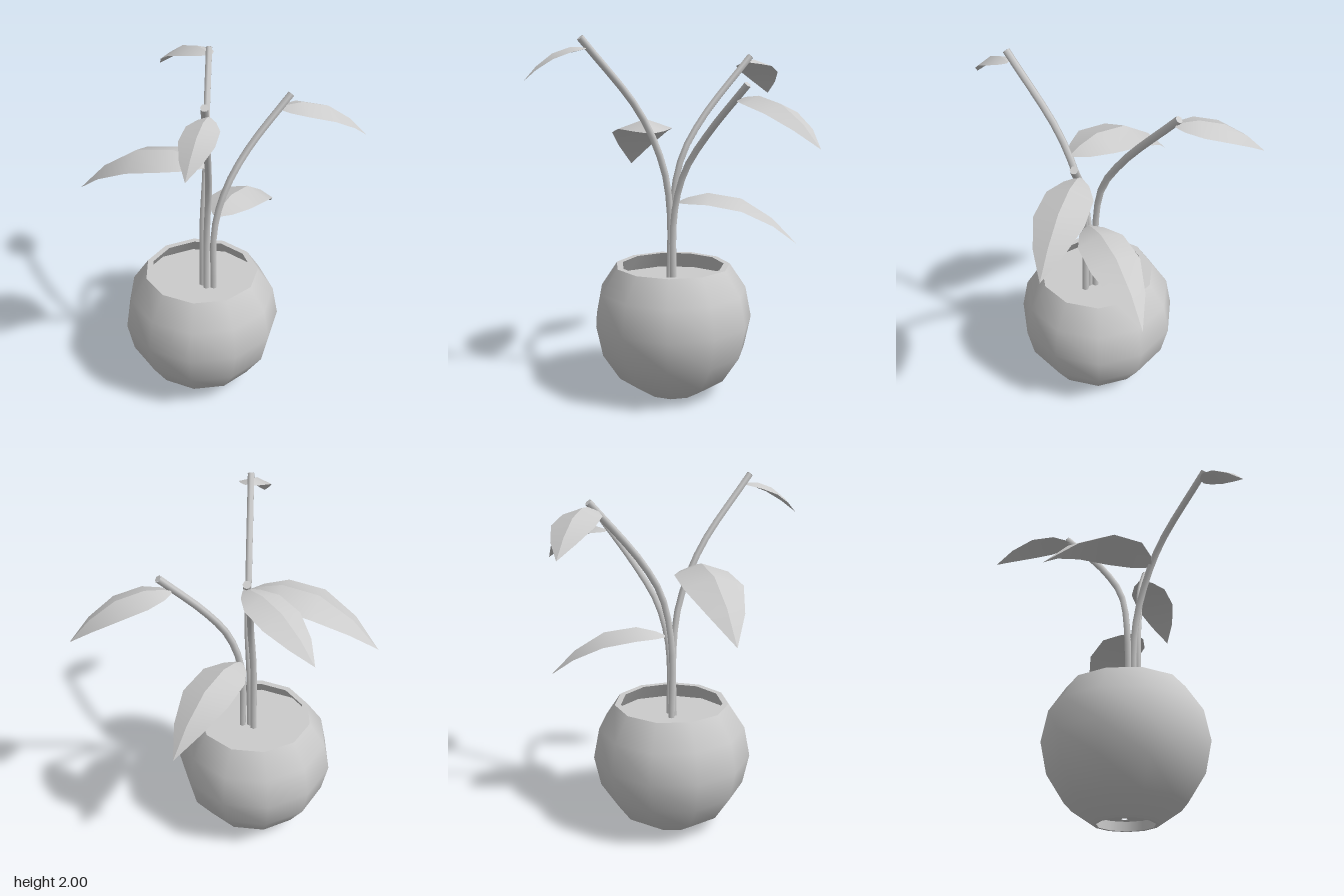
import * as THREE from 'three';

const SIDES = 11;
const material = new THREE.MeshStandardMaterial({ color: 0xcccccc });
const thin = new THREE.MeshStandardMaterial({ color: 0xcccccc, side: THREE.DoubleSide });

function add(parent, name, geometry, mat = material) {
  const mesh = new THREE.Mesh(geometry, mat);
  mesh.name = name;
  parent.add(mesh);
  return mesh;
}

// Eleven-sided surface of revolution with a corner towards +x
function turned(profile) {
  const points = profile.map(([r, y]) => new THREE.Vector2(r, y));
  return new THREE.LatheGeometry(points, SIDES, Math.PI / 2);
}

function createPot() {
  const pot = new THREE.Group();
  pot.name = 'pot';
  pot.position.x = 0.006;
  add(pot, 'potBody', turned([[0.172, 0], [0.32, 0.1], [0.417, 0.25], [0.454, 0.425], [0.42, 0.6], [0.327, 0.74]]));
  add(pot, 'potRim', turned([[0.327, 0.74], [0.292, 0.74]]));
  add(pot, 'potInnerWall', turned([[0.292, 0.74], [0.36, 0.64]]), thin);
  add(pot, 'soil', turned([[0.36, 0.64], [0, 0.64]]), thin);
  add(pot, 'footRing', turned([[0.155, 0], [0.172, 0]]));
  add(pot, 'footRecess', turned([[0.155, 0.05], [0.155, 0]]));

  // Recessed floor with five drainage holes
  const corner = (i) => {
    const a = (i / SIDES) * Math.PI * 2;
    return new THREE.Vector2(0.155 * Math.cos(a), 0.155 * Math.sin(a));
  };
  const floor = new THREE.Shape(Array.from({ length: SIDES }, (_, i) => corner(i)));
  for (let i = 0; i < 5; i++) {
    const a = (i / 5) * Math.PI * 2;
    const hole = new THREE.Path();
    hole.absarc(0.09 * Math.cos(a), 0.09 * Math.sin(a), 0.018, 0, Math.PI * 2, true);
    floor.holes.push(hole);
  }
  add(pot, 'drainageFloor', new THREE.ShapeGeometry(floor, 4).rotateX(Math.PI / 2).translate(0, 0.05, 0), thin);
  return pot;
}

// Bent stalk with a flat cut end
function createStem(name, points) {
  const stem = new THREE.Group();
  stem.name = name;
  const curve = new THREE.CatmullRomCurve3(points.map((p) => new THREE.Vector3(...p)));
  add(stem, 'stalk', new THREE.TubeGeometry(curve, 14, 0.02, 6));
  const cap = add(stem, 'cutEnd', new THREE.CircleGeometry(0.02, 6), thin);
  cap.position.copy(curve.getPoint(1));
  cap.lookAt(curve.getPoint(1).add(curve.getTangent(1)));
  return stem;
}

// Arched leaf folded along its midrib: two halves that droop to the sides.
// Each station is [position along the leaf, half width as a share of the maximum].
const STATIONS = [[0, 0.14], [0.08, 0.52], [0.25, 0.94], [0.53, 1], [0.79, 0.6], [1, 0]];

function leafGeometry(base, tip, halfWidth, lift) {
  const [dx, dz] = [tip[0] - base[0], tip[2] - base[2]];
  const length = Math.hypot(dx, dz);
  const rise = lift * length;
  const drop = base[1] - tip[1];
  const position = [];
  const index = [];
  for (const side of [1, -1]) {
    const start = position.length / 3;
    STATIONS.forEach(([t, share], i) => {
      const w = share * halfWidth;
      const x = base[0] + dx * t;
      const y = base[1] + rise * t - (rise + drop) * t * t;
      const z = base[2] + dz * t;
      position.push(x, y, z);
      position.push(x + (side * w * dz) / length, y - 0.35 * w, z - (side * w * dx) / length);
      if (i === 0) return;
      const [m0, e0, m1, e1] = [-2, -1, 0, 1].map((k) => start + 2 * i + k);
      const faces = [[m0, m1, e0]];
      if (share > 0) faces.push([m1, e1, e0]);
      for (const [a, b, c] of faces) index.push(...(side > 0 ? [a, b, c] : [a, c, b]));
    });
  }
  const geometry = new THREE.BufferGeometry();
  geometry.setAttribute('position', new THREE.Float32BufferAttribute(position, 3));
  geometry.setIndex(index);
  geometry.computeVertexNormals();
  return geometry;
}

export function createModel() {
  const model = new THREE.Group();
  model.name = 'pottedPlant';
  model.add(createPot());

  model.add(createStem('backRightStem', [
    [0.015, 0.6, 0], [0.015, 1.08, 0], [0, 1.35, -0.05], [-0.065, 1.56, -0.16], [-0.215, 1.9, -0.425]]));
  model.add(createStem('frontStem', [
    [0.05, 0.6, 0.015], [0.05, 1.05, 0.012], [0.08, 1.3, 0.045], [0.145, 1.6, 0.165], [0.307, 1.988, 0.45]]));
  model.add(createStem('backLeftStem', [
    [0.085, 0.6, -0.01], [0.085, 1.05, -0.015], [0.123, 1.29, -0.075], [0.185, 1.49, -0.195], [0.315, 1.755, -0.4]]));

  const leaves = [
    ['backRightLeaf', [-0.2, 1.87, -0.415], [-0.64, 1.685, -0.55], 0.112, 0.3],
    ['backLeftLeaf', [0.27, 1.68, -0.36], [0.637, 1.46, -0.737], 0.122, 0.34],
    ['frontLeaf', [0.31, 1.935, 0.42], [0.387, 1.767, 0.73], 0.085, 0.25],
    ['largeLeaf', [0.105, 1.498, 0.11], [-0.592, 1.245, 0.3], 0.163, 0.55],
    ['lowerLeaf', [0.08, 1.115, -0.035], [0.08, 0.885, -0.688], 0.142, 0.52],
  ];
  for (const [name, base, tip, halfWidth, lift] of leaves) {
    add(model, name, leafGeometry(base, tip, halfWidth, lift), thin);
  }
  return model;
}
